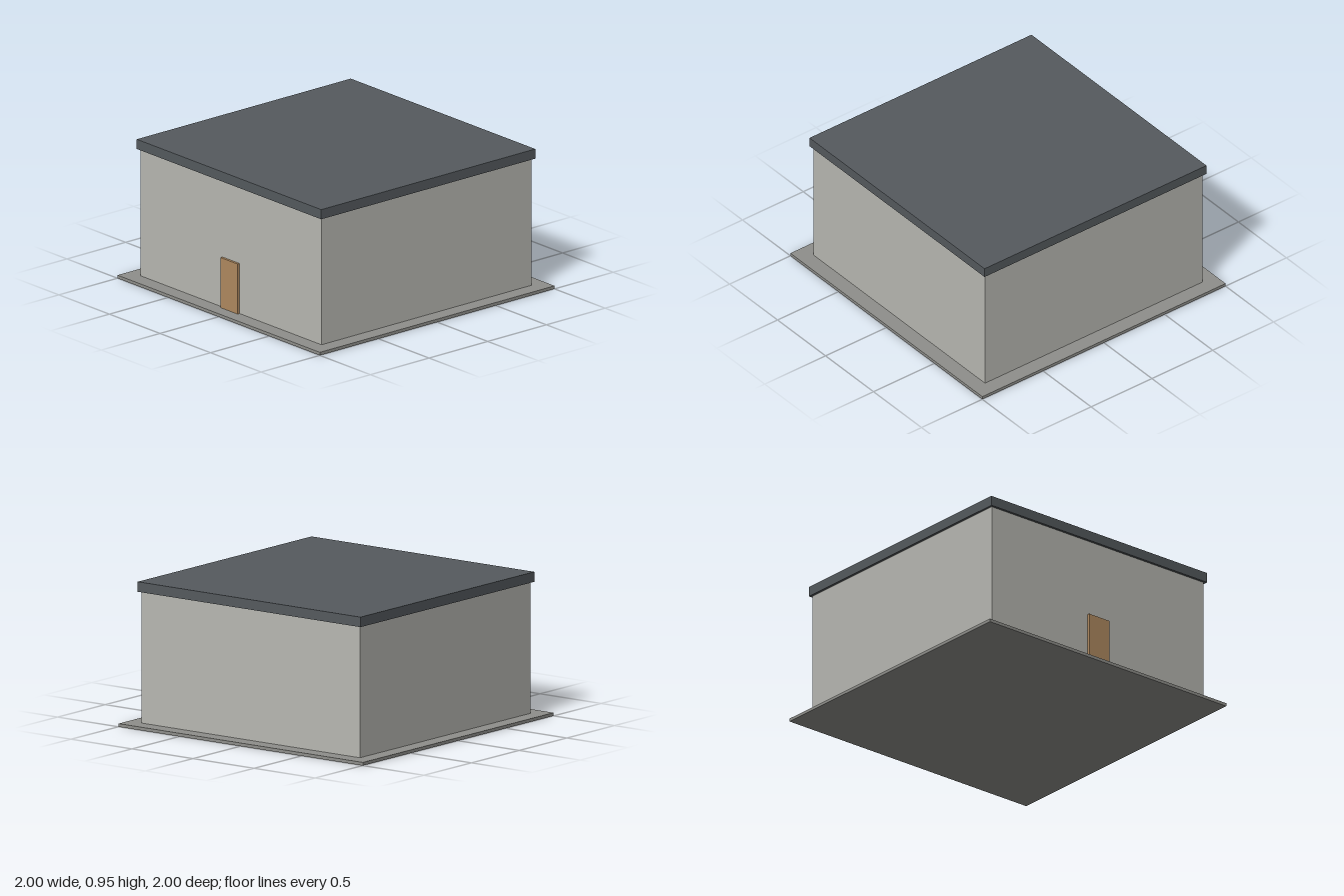
import * as THREE from 'three';

export function createModel() {
  const group = new THREE.Group();
  group.name = 'house';

  // Adds a box spanning y0 to y1, centred on x = 0 and the given z
  function addBox(name, color, width, depth, y0, y1, z = 0) {
    const mesh = new THREE.Mesh(
      new THREE.BoxGeometry(width, y1 - y0, depth),
      new THREE.MeshStandardMaterial({ color })
    );
    mesh.name = name;
    mesh.position.set(0, (y0 + y1) / 2, z);
    group.add(mesh);
  }

  const slabTop = 0.021;
  const wallTop = 0.887;
  const wallWidth = 1.79;

  addBox('foundationSlab', 0x8f8f8b, 2, 2, 0, slabTop);
  addBox('walls', 0xb8b8b2, wallWidth, wallWidth, slabTop, wallTop);
  addBox('flatRoof', 0x555a5e, 1.824, 1.824, wallTop, 0.953);

  // Door leaf standing just proud of the front wall
  const doorDepth = 0.017;
  addBox('frontDoor', 0xb08a60, 0.17, doorDepth, slabTop, 0.363, (wallWidth + doorDepth) / 2);

  return group;
}
